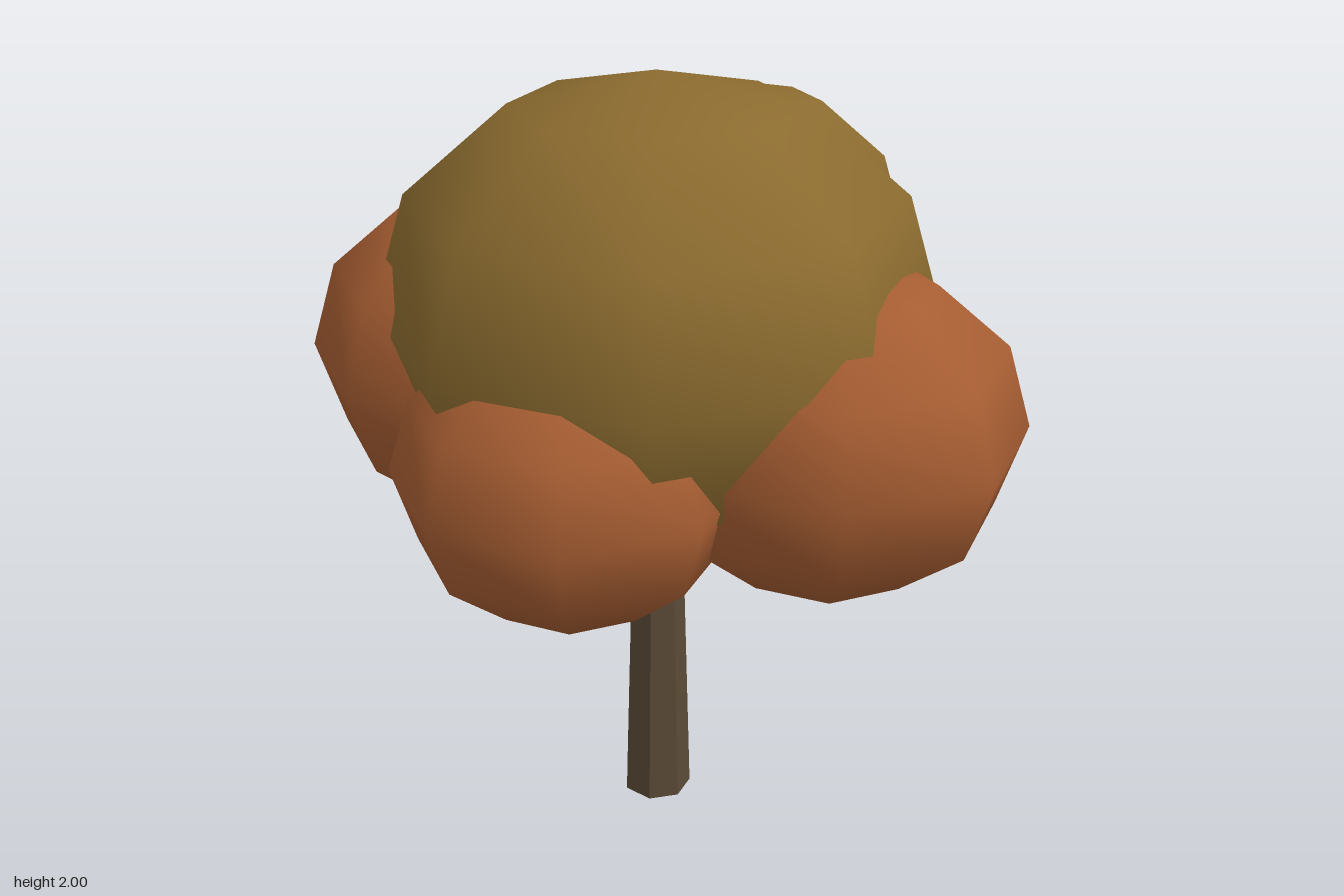
import * as THREE from 'three';

export function createModel() {
  const tree = new THREE.Group();
  tree.name = 'tree';

  const material = (name, color, flatShading = false) => {
    const m = new THREE.MeshStandardMaterial({ color, flatShading });
    m.name = name;
    return m;
  };
  const bark = material('bark brown', 0x5b4a37, true);
  const olive = material('olive leaves', 0x8b6b2f);
  const rust = material('rust leaves', 0xa65d32);

  // Tapered seven-sided trunk, its top buried in the crown
  const trunk = new THREE.Mesh(new THREE.CylinderGeometry(0.063, 0.093, 1, 7), bark);
  trunk.name = 'trunk';
  trunk.position.set(0, 0.5, 0.01);
  trunk.rotation.y = THREE.MathUtils.degToRad(-18);
  tree.add(trunk);

  // Crown of slightly flattened low-poly spheres: name, material, radius, half height, centre
  const clumps = [
    ['mainCrown', olive, 0.7, 0.595, [0, 1.405, 0.01]],
    ['rightClump', rust, 0.517, 0.435, [-0.403, 1.245, 0.145]],
    ['leftClump', rust, 0.485, 0.41, [0.427, 1.19, -0.15]],
    ['frontClump', rust, 0.43, 0.363, [0.106, 1.138, 0.39]],
    ['backClump', olive, 0.453, 0.385, [-0.11, 1.515, -0.367]],
  ];
  for (const [name, mat, radius, halfHeight, centre] of clumps) {
    const geometry = new THREE.SphereGeometry(radius, 8, 6);
    geometry.scale(1, halfHeight / radius, 1);
    const clump = new THREE.Mesh(geometry, mat);
    clump.name = name;
    clump.position.set(...centre);
    tree.add(clump);
  }
  return tree;
}
